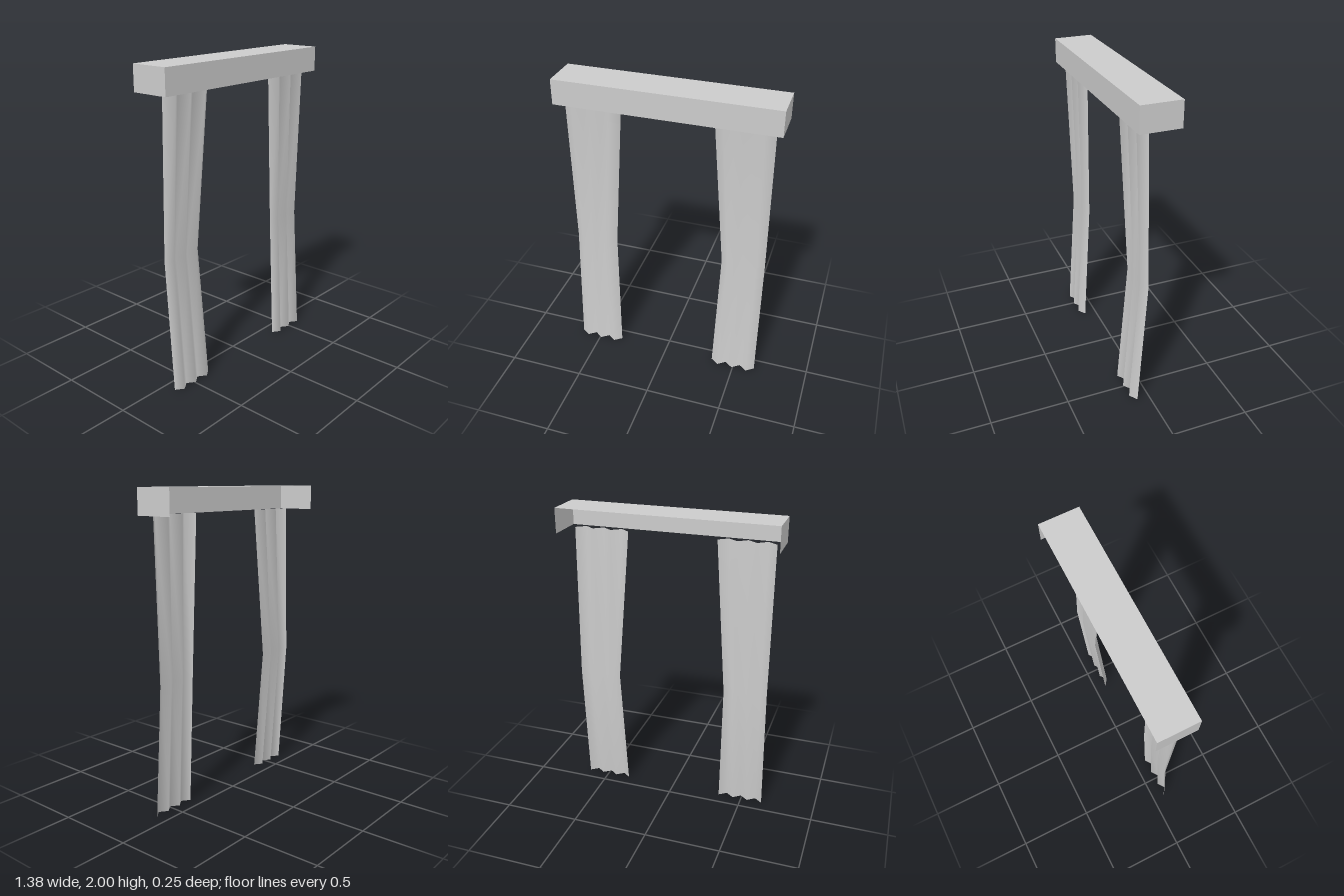
import * as THREE from 'three';

const material = new THREE.MeshStandardMaterial({ color: 0xcccccc, side: THREE.DoubleSide });

// Curtain rows: height, inner edge x, back and front z of the pleats
const ROWS = [
  { y: 1.845, inner: 0.285, back: 0.05, front: 0.095 },
  { y: 0.85, inner: 0.362, back: 0.025, front: 0.06 },
  { y: 0, inner: 0.34, back: 0.08, front: 0.117 },
];
const OUTER = 0.645;
const FOLDS = 6;

function panel(name, width, height) {
  const mesh = new THREE.Mesh(new THREE.PlaneGeometry(width, height), material);
  mesh.name = name;
  return mesh;
}

// Pleated sheet: columns alternate between the back and front of the folds
function curtain(name, side) {
  const geometry = new THREE.PlaneGeometry(1, 1, FOLDS, ROWS.length - 1);
  const position = geometry.attributes.position;
  ROWS.forEach((row, r) => {
    const [left, right] = side > 0 ? [row.inner, OUTER] : [-OUTER, -row.inner];
    for (let c = 0; c <= FOLDS; c++) {
      const x = THREE.MathUtils.lerp(left, right, c / FOLDS);
      position.setXYZ(r * (FOLDS + 1) + c, x, row.y, c % 2 ? row.front : row.back);
    }
  });
  geometry.computeVertexNormals();
  const mesh = new THREE.Mesh(geometry, material);
  mesh.name = name;
  return mesh;
}

export function createModel() {
  const model = new THREE.Group();
  model.name = 'curtains';

  // Pelmet: thin box, open below and at the back
  const width = 1.382, height = 0.158, depth = 0.25;
  const midY = 2 - height / 2;
  const pelmet = new THREE.Group();
  pelmet.name = 'pelmet';

  const front = panel('pelmetFront', width, height);
  front.position.set(0, midY, depth / 2);

  const top = panel('pelmetTop', width, depth);
  top.rotation.x = -Math.PI / 2;
  top.position.y = 2;
  pelmet.add(front, top);

  for (const side of [-1, 1]) {
    const end = panel(side > 0 ? 'pelmetLeftEnd' : 'pelmetRightEnd', depth, height);
    end.rotation.y = side * Math.PI / 2;
    end.position.set(side * width / 2, midY, 0);
    pelmet.add(end);
    model.add(curtain(side > 0 ? 'leftCurtain' : 'rightCurtain', side));
  }

  model.add(pelmet);
  return model;
}
